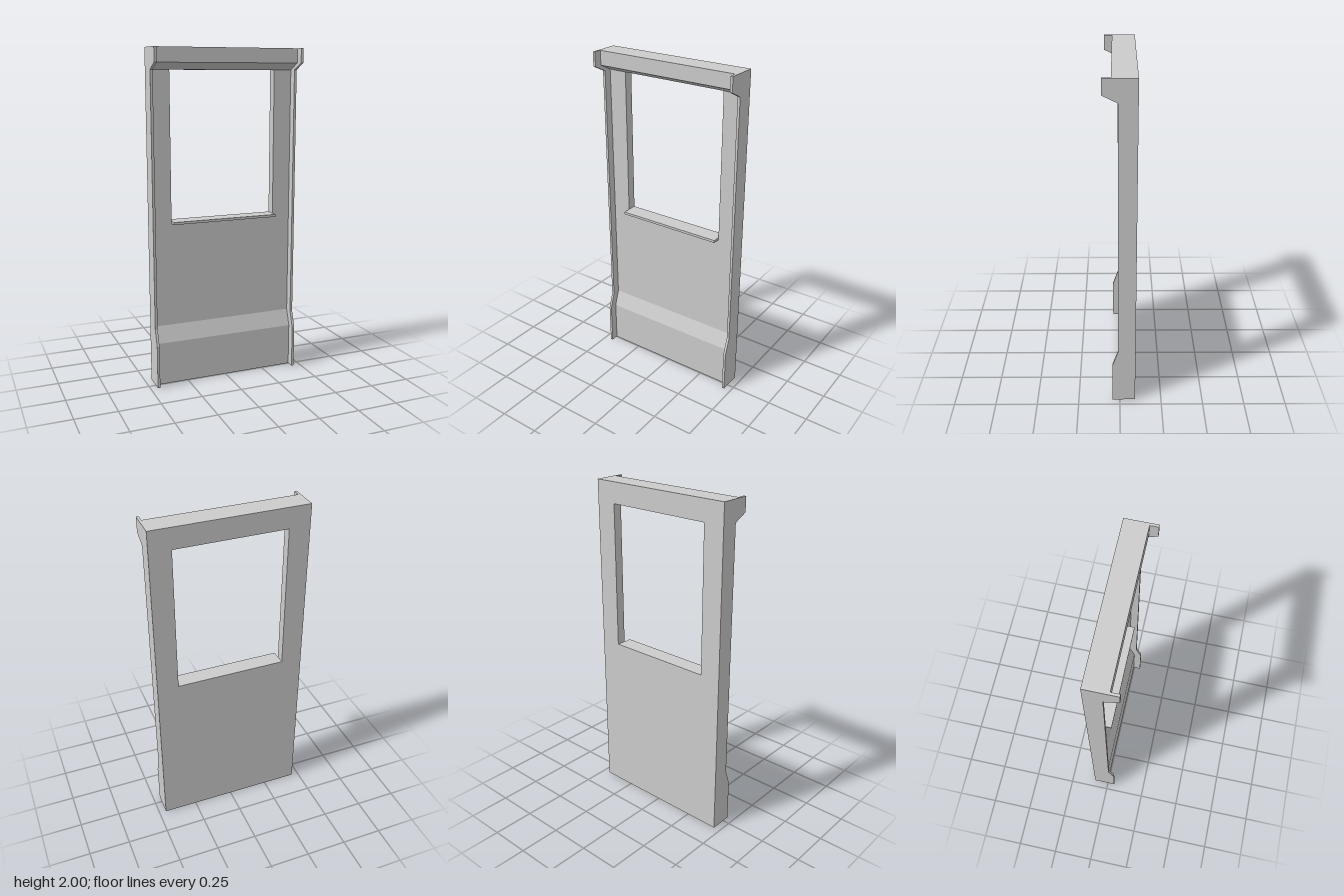
import * as THREE from 'three';

const HALF = 0.457;    // half of the overall width
const INNER = 0.442;   // inner face of the side cheeks
const OPEN = 0.33;     // half of the window opening
const BACK = -0.092;
const FACE = -0.037;   // front of the recessed panel
const SILL = 1.0, LINTEL = 1.875;

const material = new THREE.MeshStandardMaterial({ color: 0xcccccc, flatShading: true });

// Extrudes a [z, y] profile sideways from x0 to x1
function slab(name, profile, x0, x1) {
  const shape = new THREE.Shape(profile.map(([z, y]) => new THREE.Vector2(z, y)));
  const geometry = new THREE.ExtrudeGeometry(shape, { depth: x1 - x0, bevelEnabled: false });
  geometry.rotateY(-Math.PI / 2).translate(x1, 0, 0);
  const mesh = new THREE.Mesh(geometry, material);
  mesh.name = name;
  return mesh;
}

const rect = (z0, z1, y0, y1) => [[z0, y0], [z1, y0], [z1, y1], [z0, y1]];

export function createModel() {
  const group = new THREE.Group();
  group.name = 'windowPanel';

  // Lower panel with a thicker, sloped kick base
  group.add(slab('lowerPanel', [
    [BACK, 0], [-0.003, 0], [-0.003, 0.26], [FACE, 0.36], [FACE, SILL], [BACK, SILL],
  ], -INNER, INNER));

  // Header overhanging the window with a sloped underside
  group.add(slab('header', [
    [BACK, LINTEL], [FACE, LINTEL], [0.044, 1.915], [0.044, 2], [BACK, 2],
  ], -INNER, INNER));

  // Window sill lip
  group.add(slab('sill', rect(FACE, 0.01, 0.985, SILL), -OPEN, OPEN));

  // Jambs beside the window and the thin outer cheeks
  const cheek = [
    [BACK, 0], [0.044, 0], [0.044, 0.26], [0.01, 0.36], [0.01, LINTEL],
    [0.092, 1.915], [0.092, 2], [BACK, 2],
  ];
  for (const [side, s] of [['left', 1], ['right', -1]]) {
    const span = (a, b) => (s > 0 ? [a, b] : [-b, -a]);
    group.add(slab(side + 'Jamb', rect(BACK, FACE, SILL, LINTEL), ...span(OPEN, INNER)));
    group.add(slab(side + 'Cheek', cheek, ...span(INNER, HALF)));
  }
  return group;
}
